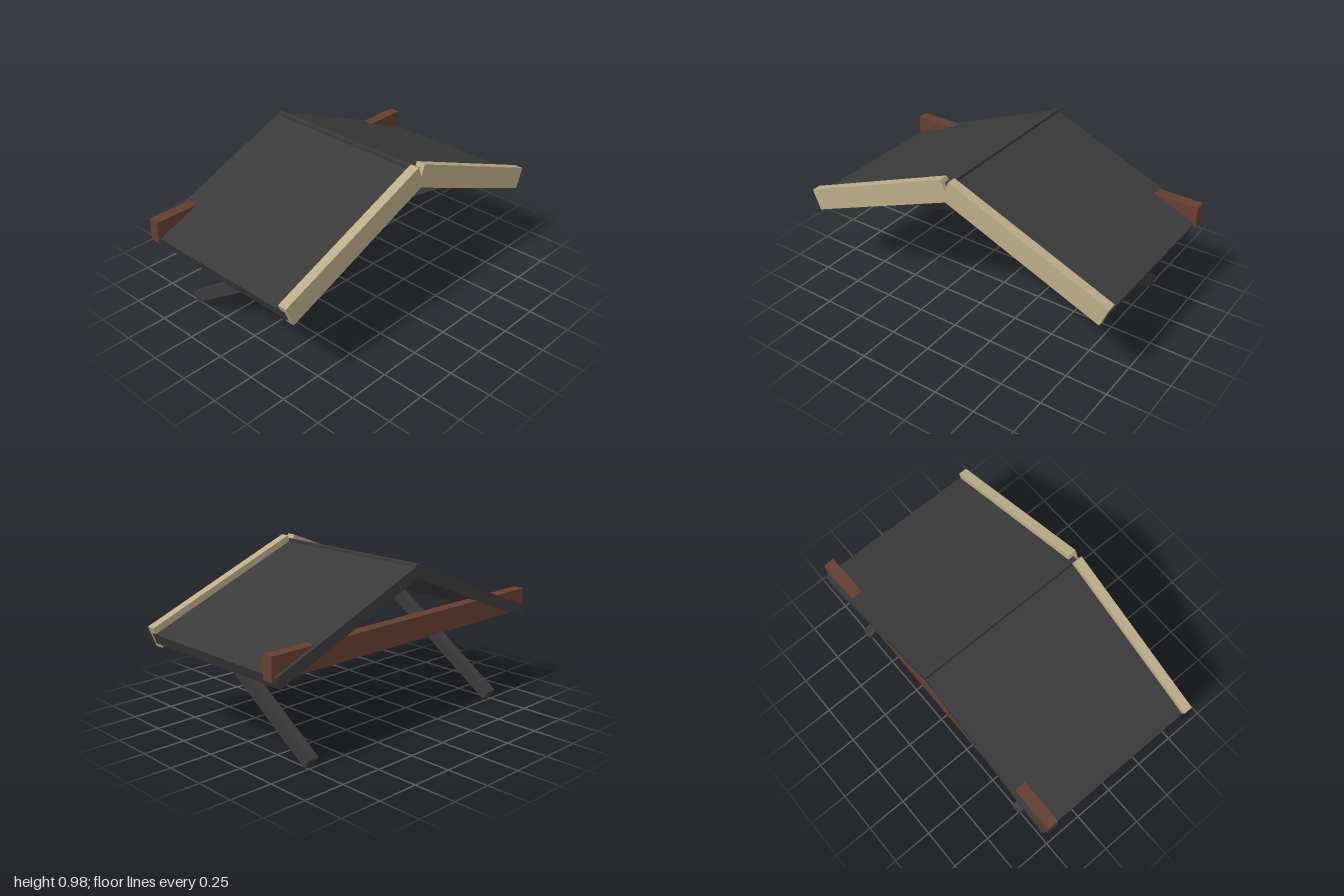
import * as THREE from 'three';

const mat = (name, color) => {
  const m = new THREE.MeshStandardMaterial({ color });
  m.name = name;
  return m;
};

export function createModel() {
  const model = new THREE.Group();
  model.name = 'gableCanopy';
  const charcoal = mat('charcoal', 0x3a3a3a);
  const tan = mat('tan', 0xbbac87);
  const brown = mat('brown', 0x643f2f);
  const pitch = THREE.MathUtils.degToRad(22);

  const box = (name, size, pos, material) => {
    const mesh = new THREE.Mesh(new THREE.BoxGeometry(...size), material);
    mesh.name = name;
    mesh.position.set(...pos);
    model.add(mesh);
    return mesh;
  };

  for (const [side, s] of [['left', 1], ['right', -1]]) {
    // Sloping roof panel
    box(side + 'RoofPanel', [1.046, 0.067, 1.065], [s * 0.492, 0.719, -0.0125], charcoal)
      .rotation.z = -s * pitch;

    // Front gable board
    box(side + 'GableBoard', [1.052, 0.13, 0.055], [s * 0.488, 0.727, 0.517], tan)
      .rotation.z = -s * pitch;

    // Slanted brace, rising from the back foot to the underside of the panel
    const tilt = THREE.MathUtils.degToRad(33.5);
    const length = 1.0;
    box(side + 'Brace', [0.065, 0.067, length], [
      s * 0.732,
      0.028 + Math.sin(tilt) * length / 2,
      -0.5 + Math.cos(tilt) * length / 2,
    ], charcoal).rotation.x = -tilt;
  }

  // Ridge strip filling the gap between the panels
  box('ridgeStrip', [0.03, 0.05, 1.065], [0, 0.935, -0.0125], charcoal);

  // Horizontal tie beam near the back
  box('tieBeam', [2, 0.13, 0.067], [0, 0.595, -0.491], brown);

  return model;
}
